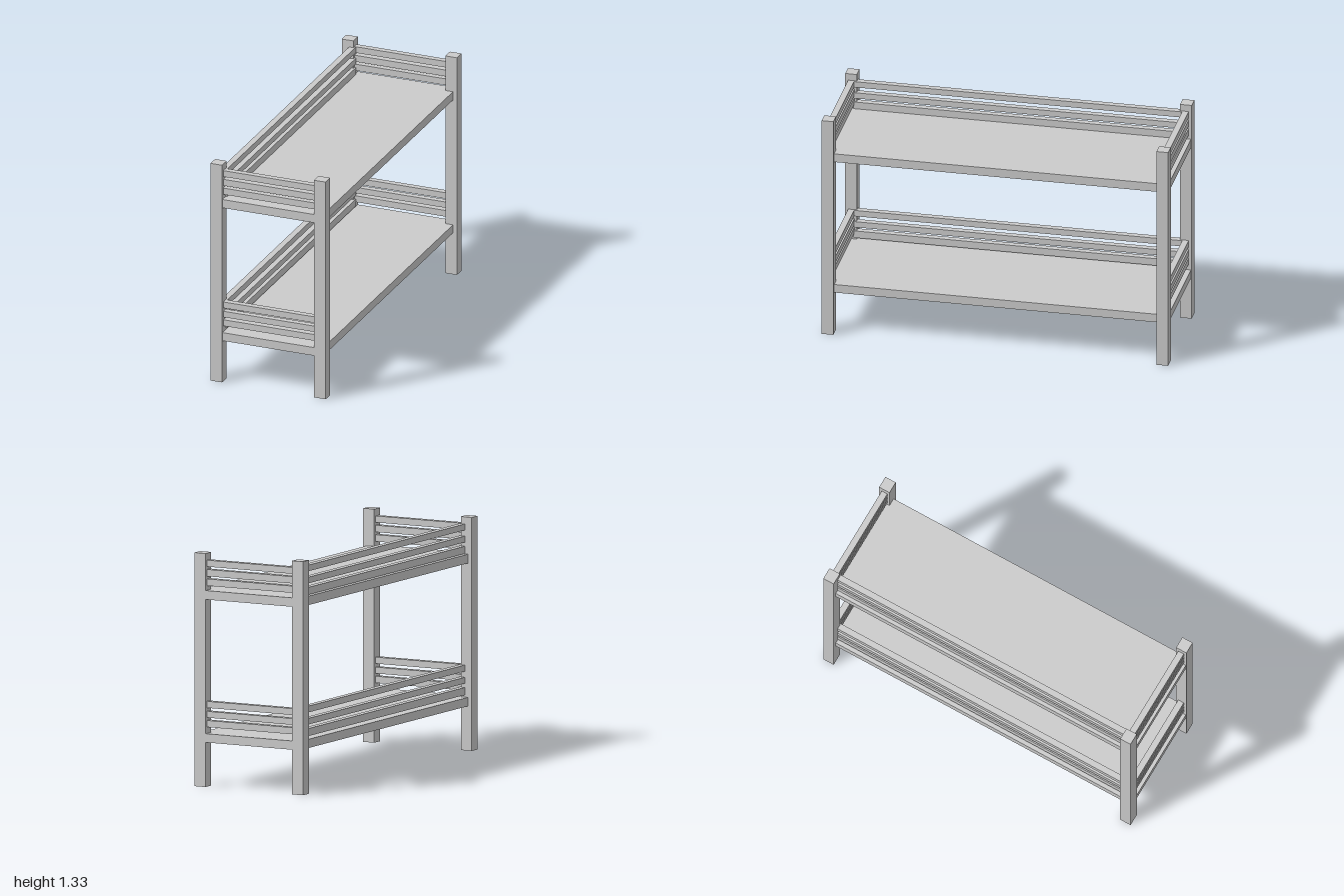
import * as THREE from 'three';

export function createModel() {
  const bed = new THREE.Group();
  bed.name = 'bunkBed';
  const wood = new THREE.MeshStandardMaterial({ color: 0xcccccc, flatShading: true });

  // Box given by its lower and upper limits on each axis
  const box = (name, parent, [x0, x1], [y0, y1], [z0, z1]) => {
    const mesh = new THREE.Mesh(new THREE.BoxGeometry(x1 - x0, y1 - y0, z1 - z0), wood);
    mesh.position.set((x0 + x1) / 2, (y0 + y1) / 2, (z0 + z1) / 2);
    mesh.name = name;
    parent.add(mesh);
  };
  // Mirrors an interval when the sign is negative
  const span = (a, b, s) => (s > 0 ? [a, b] : [-b, -a]);

  // Four corner posts
  for (const sx of [-1, 1])
    for (const sz of [-1, 1])
      box('cornerPost', bed, span(0.281, 0.352, sx), [0, 1.333], span(0.933, 1, sz));

  // Two bunks: a deck, rails at both ends and a guard along the right side
  const bunks = [
    {
      name: 'lowerBunk',
      deck: [0.254, 0.304],
      ends: [[0.34, 0.378], [0.394, 0.43], [0.45, 0.487]],
      guard: [[0.316, 0.359], [0.382, 0.417], [0.451, 0.487]],
    },
    {
      name: 'upperBunk',
      deck: [1.07, 1.121],
      ends: [[1.147, 1.186], [1.201, 1.24], [1.256, 1.293]],
      guard: [[1.123, 1.165], [1.188, 1.223], [1.257, 1.292]],
    },
  ];
  for (const { name, deck, ends, guard } of bunks) {
    const bunk = new THREE.Group();
    bunk.name = name;
    bed.add(bunk);
    box('deck', bunk, [-0.328, 0.328], deck, [-0.996, 0.996]);
    for (const y of ends)
      for (const s of [-1, 1])
        box('endRail', bunk, [-0.3, 0.3], y, span(0.947, 0.983, s));
    for (const y of guard)
      box('guardRail', bunk, [-0.307, -0.271], y, [-0.95, 0.95]);
  }
  return bed;
}
